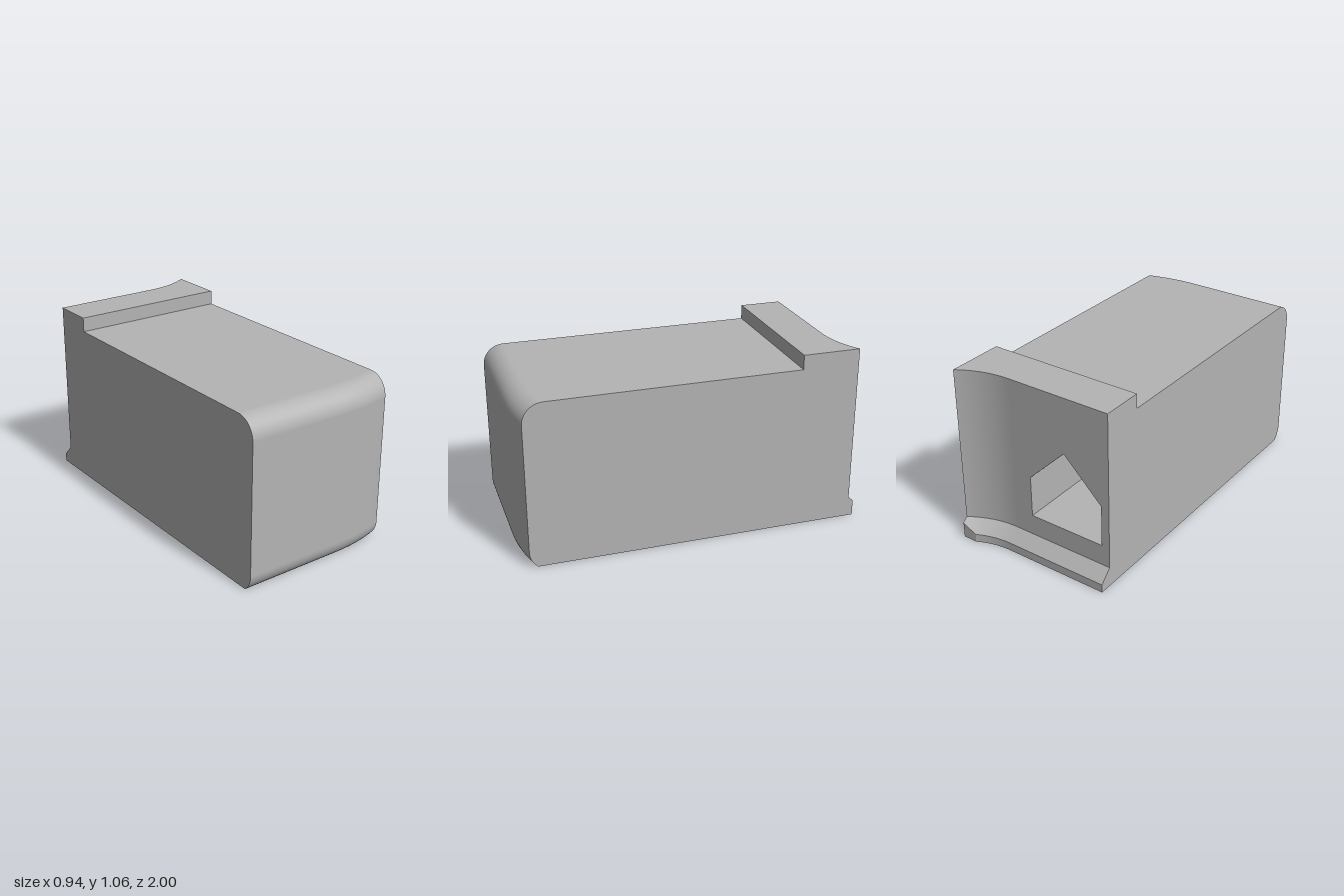
import * as THREE from 'three';

const HALF = 0.47, CURVE_X = 0.17, CLIP_X = 0.3821;   // half width, start of curved ends, end of full lip
const TOP = 0.975, STEP_TOP = 1.06, STEP_Z = -0.63, BACK = -0.88;

// Inset of a circular arc that leaves the straight at CURVE_X
const arcDrop = (x, r) => {
  const d = Math.max(0, x - CURVE_X);
  return r - Math.sqrt(r * r - d * d);
};

// Side outline (z, y) at a given x: back lip, back wall, top step, top, rounded front
function outline(x) {
  const d = Math.max(0, x - CURVE_X);
  const wall = BACK - arcDrop(x, 0.545);
  const lip = Math.max(-1, BACK - 0.07 - arcDrop(x, 0.475));
  const lipY = x > CLIP_X ? 0.12 - (0.545 - Math.hypot(d, 0.425)) : 0.05;
  const front = 1 - arcDrop(x, 1.02), r = 0.12;
  const pts = [[lip, 0], [lip, lipY], [wall, 0.12], [wall, STEP_TOP], [STEP_Z, STEP_TOP], [STEP_Z, TOP]];
  for (let i = 0; i <= 12; i++) {
    const a = (Math.PI / 2) * (1 - i / 12);
    pts.push([front - r + r * Math.cos(a), TOP - r + r * Math.sin(a)]);
  }
  for (let i = 0; i <= 8; i++) {
    const a = -0.9 * (i / 8);
    pts.push([front - r + r * Math.cos(a), 0.094 + r * Math.sin(a)]);
  }
  pts[pts.length - 1][1] = 0;
  return pts;
}

// Surface through rows of [x, y, z] points
function loft(rows, flat = false) {
  const n = rows[0].length, index = [];
  for (let i = 0; i < rows.length - 1; i++) {
    for (let j = 0; j < n - 1; j++) {
      const a = i * n + j, b = a + 1, d = a + n, c = d + 1;
      index.push(a, b, c, a, c, d);
    }
  }
  let geo = new THREE.BufferGeometry();
  geo.setAttribute('position', new THREE.Float32BufferAttribute(rows.flat(2), 3));
  geo.setIndex(index);
  if (flat) geo = geo.toNonIndexed();
  geo.computeVertexNormals();
  return geo;
}

const range = (a, b, n) => Array.from({ length: n + 1 }, (_, i) => a + ((b - a) * i) / n);
const shapeOf = (pts) => new THREE.Shape(pts.map((p) => new THREE.Vector2(p[0], p[1])));
const circle = (x, y, r) => new THREE.Path().absarc(x, y, r, 0, Math.PI * 2, true);

export function createModel() {
  const group = new THREE.Group();
  const grey = new THREE.MeshStandardMaterial({ color: 0xb4b4b4 });
  grey.name = 'light grey';
  const add = (name, geo) => {
    const mesh = new THREE.Mesh(geo, grey);
    mesh.name = name;
    group.add(mesh);
    return mesh;
  };

  // Outer skin, one strip per face of the outline
  const stationsA = [-HALF, ...range(CURVE_X, CLIP_X, 12)];
  const stationsB = range(CLIP_X, HALF, 6);
  const all = [...stationsA, ...stationsB.slice(1)];
  const skin = (name, from, to, xs) =>
    add(name, loft(xs.map((x) => outline(x).slice(from, to + 1).map(([z, y]) => [x, y, z]))));
  const last = outline(0).length - 1;
  for (const xs of [stationsA, stationsB]) {
    skin('lipEdge', 0, 1, xs);
    skin('lipBevel', 1, 2, xs);
  }
  skin('curvedBackWall', 2, 3, all.slice(1));
  skin('stepTop', 3, 4, all);
  skin('stepRiser', 4, 5, all);
  skin('topFace', 5, 6, all);
  skin('roundedFront', 6, last, all);

  // Flat sides
  for (const s of [1, -1]) {
    const shape = shapeOf(outline(s * HALF).map(([z, y]) => [-s * z, y]));
    add(s > 0 ? 'leftSide' : 'rightSide',
      new THREE.ShapeGeometry(shape).rotateY((s * Math.PI) / 2).translate(s * HALF, 0, 0));
  }

  // Flat back wall with a five-sided opening
  const bay = { x0: -0.42, x1: 0.053, y0: 0.245, y1: 0.493, peak: 0.727, end: 0.4 };
  const mid = (bay.x0 + bay.x1) / 2;
  const opening = [[bay.x0, bay.y0], [bay.x0, bay.y1], [mid, bay.peak], [bay.x1, bay.y1], [bay.x1, bay.y0]];
  const flip = (pts) => pts.map(([x, y]) => [-x, y]);
  const wall = shapeOf(flip([[-HALF, 0.12], [CURVE_X, 0.12], [CURVE_X, STEP_TOP], [-HALF, STEP_TOP]]));
  wall.holes.push(shapeOf(flip(opening)));
  add('flatBackWall', new THREE.ShapeGeometry(wall).rotateY(Math.PI).translate(0, 0, BACK));

  // Cavity behind the opening
  add('cavityWalls', loft([BACK, bay.end].map((z) => opening.map(([x, y]) => [x, y, z])), true));
  add('cavityEnd', new THREE.ShapeGeometry(shapeOf(flip(opening))).rotateY(Math.PI).translate(0, 0, bay.end));

  // Holes in the underside: position, bore and countersink radius, depth
  const holes = [
    { x: mid, z: 0.17, r: 0.133, rim: 0.148, depth: bay.y0, through: true },
    { x: 0.24, z: -0.24, r: 0.08, rim: 0.1, depth: 0.25 },
    { x: 0.24, z: 0.58, r: 0.08, rim: 0.1, depth: 0.25 },
  ];
  const floor = shapeOf([[bay.x0, -BACK], [bay.x1, -BACK], [bay.x1, -bay.end], [bay.x0, -bay.end]]);
  floor.holes.push(circle(mid, -holes[0].z, holes[0].r));
  add('cavityFloor', new THREE.ShapeGeometry(floor, 24).rotateX(-Math.PI / 2).translate(0, bay.y0, 0));

  // Underside
  const base = shapeOf([
    ...all.map((x) => [x, outline(x)[0][0]]),
    ...[...all].reverse().map((x) => [x, outline(x)[last][0]]),
  ]);
  holes.forEach((h) => base.holes.push(circle(h.x, h.z, h.rim)));
  add('underside', new THREE.ShapeGeometry(base, 24).rotateX(Math.PI / 2));

  // Hole walls, each with a bevelled rim
  for (const h of holes) {
    const c = 0.02;
    const parts = [['holeBore', [h.r, h.depth], [h.r, c]], ['holeRim', [h.r, c], [h.rim, 0]]];
    if (!h.through) parts.push(['holeEnd', [0, h.depth], [h.r, h.depth]]);
    for (const [name, a, b] of parts) {
      const pts = [new THREE.Vector2(...a), new THREE.Vector2(...b)];
      add(name, new THREE.LatheGeometry(pts, 48)).position.set(h.x, 0, h.z);
    }
  }
  return group;
}
